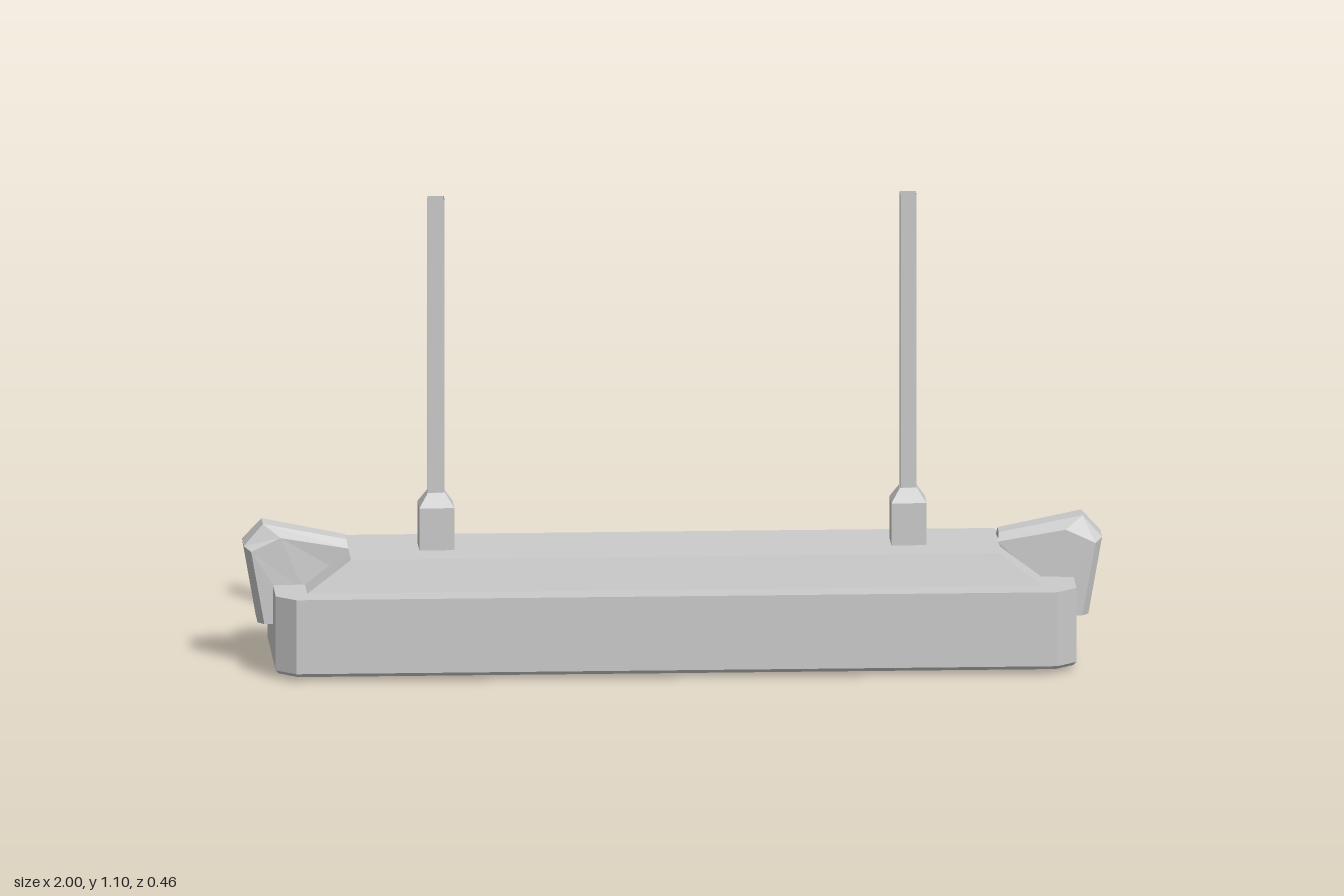
import * as THREE from 'three';

const material = new THREE.MeshStandardMaterial({ color: 0xcccccc, flatShading: true, side: THREE.DoubleSide });

// Skin a list of rings (equal point counts, counter-clockwise seen from the end) and cap both ends.
function loft(rings, capEnd = true) {
  const pos = [];
  const tri = (...pts) => pts.forEach(p => pos.push(...p));
  const n = rings[0].length;
  for (let r = 0; r < rings.length - 1; r++) {
    const a = rings[r], b = rings[r + 1];
    for (let i = 0; i < n; i++) {
      const j = (i + 1) % n;
      tri(a[i], a[j], b[j]);
      tri(a[i], b[j], b[i]);
    }
  }
  const first = rings[0], last = rings[rings.length - 1];
  for (let i = 1; i < n - 1; i++) {
    tri(first[0], first[i + 1], first[i]);
    if (capEnd) tri(last[0], last[i], last[i + 1]);
  }
  const geo = new THREE.BufferGeometry();
  geo.setAttribute('position', new THREE.Float32BufferAttribute(pos, 3));
  geo.computeVertexNormals();
  return geo;
}

// Horizontal rectangle, and one with cut corners.
const rect = (hx, hz, y) => [[hx, y, hz], [hx, y, -hz], [-hx, y, -hz], [-hx, y, hz]];
const cutRect = (hx, hz, y, c) => [
  [hx, y, hz - c], [hx, y, c - hz], [hx - c, y, -hz], [c - hx, y, -hz],
  [-hx, y, c - hz], [-hx, y, hz - c], [c - hx, y, hz], [hx - c, y, hz],
];

function part(name, geometry, x = 0, y = 0, z = 0) {
  const mesh = new THREE.Mesh(geometry, material);
  mesh.name = name;
  mesh.position.set(x, y, z);
  return mesh;
}

// Bracket section: narrow outer face, chamfered shoulders, wide inner face.
const bracketSection = ([ox, oy, a, sx, sy, b, ix, iy]) => [
  [ox, oy, a], [ox, oy, -a], [sx, sy, -b], [ix, iy, -b], [ix, iy, b], [sx, sy, b],
];

export function createModel() {
  const model = new THREE.Group();
  model.name = 'hangingLamp';

  // Housing: from the deep recess ceiling, down around the rim and up to the top
  model.add(part('housing', loft([
    cutRect(0.9, 0.202, 0.17, 0.036),
    cutRect(0.9, 0.202, 0.011, 0.036),
    cutRect(0.926, 0.226, 0.011, 0.044),
    cutRect(0.933, 0.232, 0.019, 0.046),
    cutRect(0.933, 0.232, 0.195, 0.046),
  ])));

  // Tapered cover on top
  model.add(part('topCover', loft([rect(0.858, 0.16, 0.19), rect(0.858, 0.16, 0.195), rect(0.755, 0.14, 0.27)])));

  // Two hexagonal light tubes in the recess
  for (const z of [-0.1, 0.1]) {
    const tube = new THREE.CylinderGeometry(0.037, 0.037, 1.72, 6).rotateZ(Math.PI / 2);
    model.add(part('lightTube', tube, 0, 0.032, z));
  }

  // Bent end bracket, stations from the lower tip over the elbow to the cover
  const bracket = loft([
    [0.968, 0.103, 0.042, 0.953, 0.103, 0.062, 0.92, 0.103],
    [1.0, 0.285, 0.043, 0.984, 0.275, 0.062, 0.915, 0.17],
    [0.955, 0.335, 0.033, 0.915, 0.306, 0.057, 0.86, 0.18],
    [0.76, 0.296, 0.028, 0.757, 0.277, 0.045, 0.78, 0.225],
  ].map(bracketSection));

  for (const side of [-1, 1]) {
    const arm = part('endBracket', bracket);
    if (side < 0) arm.rotation.y = Math.PI;
    model.add(arm);

    // Hanger: square socket with tapered neck, and an open square rod
    const hanger = new THREE.Group();
    hanger.name = 'hanger';
    hanger.position.x = side * 0.55;
    hanger.add(part('hangerSocket', loft([
      rect(0.041, 0.043, 0.265), rect(0.041, 0.043, 0.37), rect(0.02, 0.02, 0.402),
    ])));
    hanger.add(part('hangerRod', loft([rect(0.019, 0.019, 0.4), rect(0.019, 0.019, 1.1)], false)));
    model.add(hanger);
  }
  return model;
}
